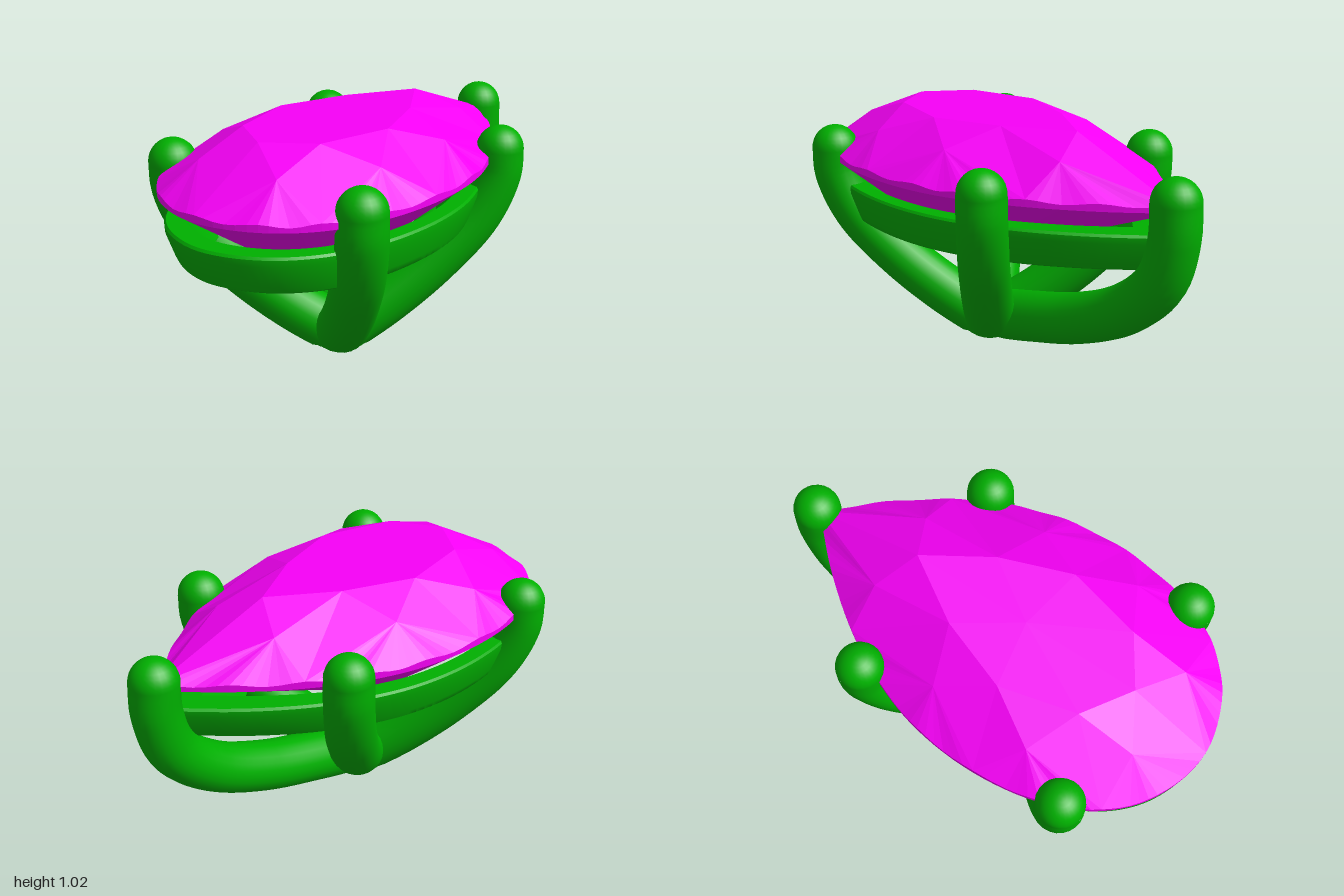
import * as THREE from 'three';
import { toCreasedNormals } from 'three/addons/utils/BufferGeometryUtils.js';

const V = (x, y, z) => new THREE.Vector3(x, y, z);
const CENTRE_Z = 0.3; // z of the culet, centre of the pear outline
const STEP = 6; // outline samples per control point

// Pear outline (x, z), from the back point round the +x side to the front and back again
function pearOutline() {
  const half = [[0, -0.89], [0.19, -0.69], [0.36, -0.46], [0.48, -0.23], [0.55, 0],
    [0.57, 0.28], [0.525, 0.56], [0.42, 0.78], [0.25, 0.93]];
  const mirrored = half.map(([x, z]) => [-x, z]).reverse();
  const pts = [...half, [0, 1], ...mirrored].map(([x, z]) => V(x, 0, z));
  return new THREE.CatmullRomCurve3(pts).getPoints((pts.length - 1) * STEP).slice(0, -1);
}

// Faceted stone: table, star, kite and girdle facets above, a cone to the culet below
function stoneGeometry(outline) {
  const n = outline.length;
  const inside = V(0, 0.75, 0.2);
  const pos = [];
  const tri = (a, b, c) => {
    const normal = b.clone().sub(a).cross(c.clone().sub(a));
    const out = normal.dot(a.clone().sub(inside)) > 0;
    for (const p of out ? [a, b, c] : [a, c, b]) pos.push(p.x, p.y, p.z);
  };
  const table = [[0, -0.37], [0.17, -0.1], [0.28, 0.2], [0.2, 0.52], [0, 0.65],
    [-0.2, 0.52], [-0.28, 0.2], [-0.17, -0.1]].map(([x, z]) => V(x, 1.016, z));
  const stars = [[0.18, -0.46], [0.4, -0.02], [0.41, 0.42], [0.2, 0.77],
    [-0.2, 0.77], [-0.41, 0.42], [-0.4, -0.02], [-0.18, -0.46]].map(([x, z]) => V(x, 0.94, z));
  const contact = [0, 2, 5, 7, 9, 11, 13, 16, 18].map((c) => c * STEP);
  // Slightly scalloped girdle
  const upper = outline.map((p, k) => V(p.x, 0.82 + 0.006 * Math.cos(k / STEP * Math.PI * 2), p.z));
  const lower = outline.map((p) => V(p.x, 0.795, p.z));
  const culet = V(0, 0.32, CENTRE_Z);

  for (let i = 0; i < 8; i++) {
    const next = (i + 1) % 8;
    tri(V(0, 1.016, 0.15), table[i], table[next]);
    tri(table[i], table[next], stars[i]);
    tri(table[i], stars[i], upper[contact[i]]);
    tri(table[next], stars[i], upper[contact[i + 1] % n]);
    for (let k = contact[i]; k < contact[i + 1]; k++) tri(stars[i], upper[k], upper[(k + 1) % n]);
  }
  for (let k = 0; k < n; k++) {
    const m = (k + 1) % n;
    tri(upper[k], upper[m], lower[k]);
    tri(upper[m], lower[m], lower[k]);
    tri(lower[k], lower[m], culet);
  }
  const geo = new THREE.BufferGeometry();
  geo.setAttribute('position', new THREE.Float32BufferAttribute(pos, 3));
  geo.computeVertexNormals();
  return geo;
}

// Supporting rail: a tapered band section (scale of outline, y) swept round the pear
function railGeometry(outline) {
  const WIDTH = 0.945, BACK = 0.97; // slightly slimmer than the stone, with a shorter back point
  const section = [[0.975, 0.692], [0.987, 0.682], [0.985, 0.655], [0.935, 0.56], [0.917, 0.535],
    [0.89, 0.525], [0.7, 0.525], [0.69, 0.535], [0.845, 0.682], [0.855, 0.692]];
  const n = outline.length, m = section.length;
  const pos = [], index = [];
  for (const p of outline) {
    const dz = (p.z - CENTRE_Z) * (p.z < CENTRE_Z ? BACK : 1);
    for (const [s, y] of section) pos.push(p.x * s * WIDTH, y, CENTRE_Z + dz * s);
  }
  for (let i = 0; i < n; i++) {
    for (let j = 0; j < m; j++) {
      const a = i * m + j, b = i * m + (j + 1) % m;
      const c = ((i + 1) % n) * m + j, d = ((i + 1) % n) * m + (j + 1) % m;
      index.push(a, c, b, b, c, d);
    }
  }
  const geo = new THREE.BufferGeometry();
  geo.setAttribute('position', new THREE.Float32BufferAttribute(pos, 3));
  geo.setIndex(index);
  return toCreasedNormals(geo, 0.6);
}

// Round bar along a path, thinning from foot to tip, with its foot cut flat
function taperedBar(path, footRadius, tipRadius) {
  const ROWS = 40, SIDES = 24;
  const geo = new THREE.TubeGeometry(path, ROWS, 1, SIDES);
  const p = geo.attributes.position;
  const v = new THREE.Vector3();
  for (let i = 0; i < p.count; i++) {
    const t = Math.floor(i / (SIDES + 1)) / ROWS;
    const centre = path.getPointAt(t);
    v.fromBufferAttribute(p, i).sub(centre)
      .multiplyScalar(THREE.MathUtils.lerp(footRadius, tipRadius, t)).add(centre);
    p.setXYZ(i, v.x, Math.max(0.002, v.y), v.z);
  }
  return geo;
}

export function createModel() {
  const stoneMat = new THREE.MeshStandardMaterial({ color: 0xf800f8, flatShading: true });
  const metalMat = new THREE.MeshStandardMaterial({ color: 0x00b000 });
  const model = new THREE.Group();
  const add = (parent, name, geo, mat) => {
    const mesh = new THREE.Mesh(geo, mat);
    mesh.name = name;
    parent.add(mesh);
    return mesh;
  };

  const outline = pearOutline();
  add(model, 'stone', stoneGeometry(outline), stoneMat);
  add(model, 'rail', railGeometry(outline), metalMat);

  // Prongs: curved round bars with domed tips, all meeting at the base
  const BASE_Z = 0.17, FOOT_R = 0.115, TIP_R = 0.1;
  const sideProfile = [[0, 0.045], [0.3, 0.18], [0.61, 0.355], [0.87, 0.55], [0.99, 0.73], [1, 0.84]];
  const backProfile = [[0, 0.07], [0.25, 0.135], [0.53, 0.22], [0.78, 0.345], [0.945, 0.51],
    [1, 0.7], [1, 0.84]];
  const addProng = (name, tipX, tipZ, profile) => {
    const prong = new THREE.Group();
    prong.name = name;
    const path = new THREE.CatmullRomCurve3(
      profile.map(([t, y]) => V(tipX * t, y, BASE_Z + (tipZ - BASE_Z) * t)));
    add(prong, 'bar', taperedBar(path, FOOT_R, TIP_R), metalMat);
    add(prong, 'tip', new THREE.SphereGeometry(TIP_R, 24, 16), metalMat).position.set(tipX, 0.84, tipZ);
    model.add(prong);
  };
  for (const [side, s] of [['left', 1], ['right', -1]]) {
    addProng(side + 'FrontProng', 0.49 * s, 0.635, sideProfile);
    addProng(side + 'RearProng', 0.47 * s, -0.335, sideProfile);
  }
  addProng('backProng', 0, -0.9, backProfile);

  // Flat foot closing the junction of the prongs
  add(model, 'foot', new THREE.CylinderGeometry(0.13, 0.115, 0.03, 32), metalMat)
    .position.set(0, 0.015, BASE_Z - 0.01);

  return model;
}
